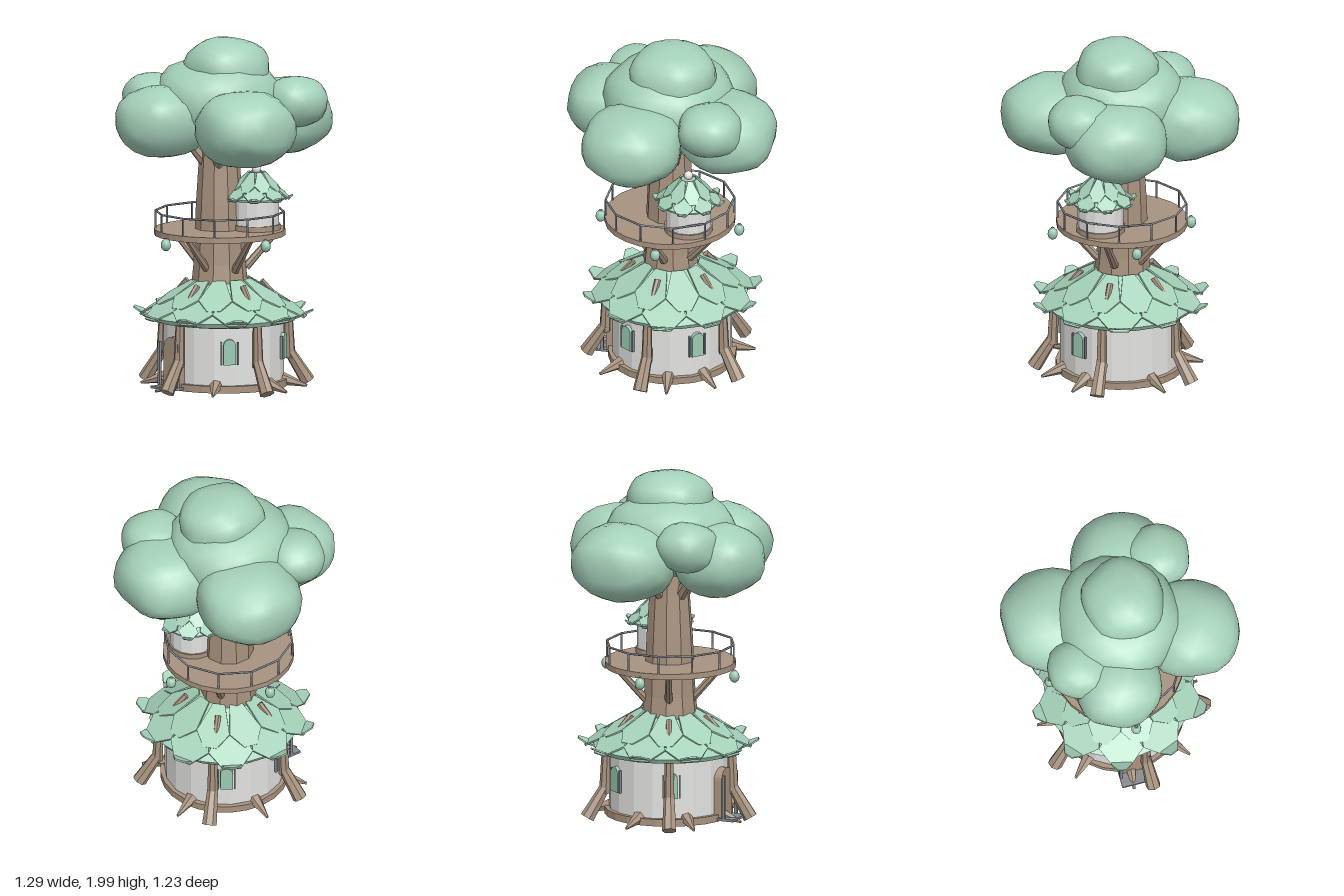
import * as THREE from 'three';
import { mergeVertices } from 'three/addons/utils/BufferGeometryUtils.js';

const mat = (name, color, extra = {}) => {
  const m = new THREE.MeshStandardMaterial({ color, ...extra });
  m.name = name;
  return m;
};

export function createModel() {
  const flat = { flatShading: true };
  const leaf = mat('leaf green', 0xa5d1b9);
  const roof = mat('roof green', 0xa5d1b9, flat);
  const glass = mat('window green', 0x9ccbb2);
  const bark = mat('bark brown', 0xa8937f, flat);
  const doorWood = mat('door brown', 0xaa937d);
  const wall = mat('wall white', 0xe2e2e0, flat);
  const metal = mat('rail grey', 0x868b91);
  const cream = mat('knob cream', 0xe8e3dc);

  const root = new THREE.Group();
  const group = (name, x = 0, y = 0, z = 0, parent = root) => {
    const g = new THREE.Group();
    g.name = name;
    g.position.set(x, y, z);
    parent.add(g);
    return g;
  };
  const add = (parent, name, geo, material, x = 0, y = 0, z = 0) => {
    const m = new THREE.Mesh(geo, material);
    m.name = name;
    m.position.set(x, y, z);
    parent.add(m);
    return m;
  };
  const rad = THREE.MathUtils.degToRad;
  const polar = (deg, r, y) => new THREE.Vector3(Math.cos(rad(deg)) * r, y, Math.sin(rad(deg)) * r);
  // Tapered rod between two points
  const beam = (parent, name, a, b, ra, rb, material = bark, sides = 7) => {
    const dir = b.clone().sub(a);
    const m = add(parent, name, new THREE.CylinderGeometry(rb, ra, dir.length(), sides), material);
    m.position.copy(a).add(b).multiplyScalar(0.5);
    m.quaternion.setFromUnitVectors(new THREE.Vector3(0, 1, 0), dir.normalize());
    return m;
  };
  const drum = (parent, name, rTop, rBottom, y0, y1, sides, material) =>
    add(parent, name, new THREE.CylinderGeometry(rTop, rBottom, y1 - y0, sides), material, 0, (y0 + y1) / 2, 0);

  // Pointed shingle lying from an inner to an outer point of a roof
  const shingle = (parent, deg, [r0, y0], [r1, y1], w0, w1, cut) => {
    const a = polar(deg, r0, y0), b = polar(deg, r1, y1);
    const v = b.clone().sub(a), len = v.length();
    v.normalize();
    const u = new THREE.Vector3(-Math.sin(rad(deg)), 0, Math.cos(rad(deg)));
    const s = new THREE.Shape();
    s.moveTo(-w0 / 2, 0);
    s.lineTo(w0 / 2, 0);
    s.lineTo(w1 / 2, len * cut);
    s.lineTo(w1 * 0.2, len);
    s.lineTo(-w1 * 0.2, len);
    s.lineTo(-w1 / 2, len * cut);
    const m = add(parent, 'shingle', new THREE.ExtrudeGeometry(s, { depth: 0.009, bevelEnabled: false }), roof);
    m.quaternion.setFromRotationMatrix(new THREE.Matrix4().makeBasis(u, v, u.clone().cross(v)));
    m.position.copy(a);
  };
  const arch = (w, h, d) => {
    const s = new THREE.Shape();
    s.moveTo(-w / 2, 0);
    s.lineTo(w / 2, 0);
    s.lineTo(w / 2, h - w / 2);
    s.absarc(0, h - w / 2, w / 2, 0, Math.PI, false);
    return new THREE.ExtrudeGeometry(s, { depth: d, bevelEnabled: false, curveSegments: 6 });
  };

  // Round house at the foot of the tree
  const house = group('house', 0.005);
  drum(house, 'baseRing', 0.362, 0.362, 0.03, 0.07, 24, bark);
  drum(house, 'wall', 0.338, 0.338, 0.07, 0.43, 18, wall);
  drum(house, 'eaveRing', 0.352, 0.352, 0.395, 0.42, 24, bark);

  // Door, its frame and step
  const door = group('door', -0.02, 0.045, 0, house);
  add(door, 'doorPanel', arch(0.135, 0.285, 0.055), doorWood, 0, 0, 0.315);
  for (const s of [-1, 1]) add(door, 'doorJamb', new THREE.BoxGeometry(0.014, 0.25, 0.016), metal, s * 0.079, 0.13, 0.39);
  add(door, 'doorStep', new THREE.BoxGeometry(0.17, 0.014, 0.1), metal, 0, 0, 0.4);

  // Arched windows with slim shutters
  for (const deg of [35, -36, 214, 152]) {
    const w = group('window', 0, 0.19, 0, house);
    w.rotation.y = Math.PI / 2 - rad(deg);
    add(w, 'pane', arch(0.07, 0.145, 0.026), glass, 0, 0, 0.33);
    for (const s of [-1, 1]) add(w, 'shutter', new THREE.BoxGeometry(0.008, 0.13, 0.014), metal, s * 0.047, 0.065, 0.345);
  }

  // Five kinked root posts, with matching roof pegs and deck braces
  for (let i = 0; i < 5; i++) {
    const d = 82 + i * 72;
    const post = group('rootPost', 0, 0, 0, house);
    beam(post, 'postTop', polar(d, 0.38, 0.17), polar(d, 0.37, 0.43), 0.032, 0.025);
    beam(post, 'postFoot', polar(d, 0.482, 0.034), polar(d, 0.376, 0.205), 0.042, 0.031);
    beam(root, 'roofPeg', polar(d, 0.29, 0.535), polar(d, 0.22, 0.61), 0.015, 0.018, bark, 6);
    beam(root, 'deckBrace', polar(d, 0.13, 0.69), polar(d, 0.31, 0.89), 0.024, 0.018);
  }
  for (const d of [95, 137, 48, -8, -43, 185, 250])
    beam(house, 'rootSpike', polar(d, 0.33, 0.068), polar(d, 0.47, 0.03), 0.037, 0.008, bark, 6);

  // Main roof: facetted shell, two rows of broad shingles, upturned eave plates
  const mainRoof = group('mainRoof');
  const lathe = (pts, n) => new THREE.LatheGeometry(pts.map(([x, y]) => new THREE.Vector2(x, y)), n);
  add(mainRoof, 'roofShell', lathe([[0, 0.405], [0.41, 0.405], [0.425, 0.43], [0.27, 0.537], [0.14, 0.625], [0, 0.625]], 20), roof);
  for (let i = 0; i < 10; i++) {
    const d = 67 + i * 36;
    shingle(mainRoof, d + 18, [0.145, 0.63], [0.37, 0.49], 0.07, 0.19, 0.65);
    shingle(mainRoof, d, [0.25, 0.557], [0.465, 0.42], 0.08, 0.25, 0.6);
    shingle(mainRoof, d, [0.41, 0.41], [0.51, 0.457], 0.07, 0.12, 0.55);
  }

  // Trunk with branches reaching into the crown
  const trunk = group('trunk', -0.01, 0, 0.015);
  const bole = [[0.165, 0.4], [0.157, 0.62], [0.147, 0.72], [0.132, 1.06], [0.114, 1.32], [0.1, 1.6]];
  add(trunk, 'bole', lathe(bole, 10), bark).rotation.z = 0.006;
  for (let i = 0; i < 5; i++)
    beam(trunk, 'branch', polar(46 + i * 72, 0.08, 1.29), polar(46 + i * 72, 0.21, 1.45), 0.035, 0.025);

  // Lookout deck, railing and hanging lanterns
  const deck = group('deck', -0.01, 0, 0.017);
  drum(deck, 'deckBoard', 0.37, 0.37, 0.882, 0.915, 24, bark);
  const n = 12;
  for (let i = 0; i < n; i++) {
    const a = 15 + i * 360 / n, b = a + 360 / n;
    beam(deck, 'railPost', polar(a, 0.362, 0.91), polar(a, 0.362, 1.015), 0.006, 0.006, metal, 6);
    beam(deck, 'railBar', polar(a, 0.362, 1.013), polar(b, 0.362, 1.013), 0.006, 0.006, metal, 6);
  }
  for (let i = 0; i < 4; i++) {
    const p = polar(i * 90, 0.398, 0.858);
    const l = group('lantern', p.x, p.y, p.z, deck);
    add(l, 'lanternGlobe', new THREE.SphereGeometry(0.029, 10, 8), glass).scale.y = 1.2;
    add(l, 'lanternCap', new THREE.CylinderGeometry(0.008, 0.014, 0.008, 8), metal, 0, 0.034, 0);
  }

  // Small turret on the deck
  const turret = group('turret', 0.143, 0, -0.122);
  drum(turret, 'turretBase', 0.137, 0.137, 0.91, 0.945, 16, bark);
  drum(turret, 'turretWall', 0.129, 0.129, 0.94, 1.1, 14, wall);
  add(turret, 'turretRoof', lathe([[0, 1.085], [0.16, 1.085], [0.165, 1.098], [0.1, 1.155], [0.04, 1.235], [0, 1.24]], 16), roof);
  for (let i = 0; i < 8; i++) {
    const d = 22 + i * 45;
    shingle(turret, d, [0.042, 1.236], [0.135, 1.132], 0.026, 0.09, 0.65);
    shingle(turret, d + 22.5, [0.095, 1.163], [0.185, 1.085], 0.03, 0.115, 0.6);
    shingle(turret, d + 22.5, [0.165, 1.083], [0.207, 1.106], 0.035, 0.055, 0.6);
  }
  add(turret, 'turretKnob', new THREE.SphereGeometry(0.026, 10, 8), cream, 0, 1.255, 0);

  // Crown of lumpy foliage: centre, then radii
  const crown = group('crown');
  const clumps = [
    [0.025, 1.825, -0.005, 0.23, 0.175, 0.245],
    [-0.015, 1.65, 0.025, 0.355, 0.235, 0.36],
    [-0.37, 1.54, -0.1, 0.29, 0.22, 0.29],
    [0.1, 1.535, -0.34, 0.29, 0.215, 0.28],
    [0.29, 1.64, -0.275, 0.185, 0.145, 0.185],
    [0.375, 1.535, 0.15, 0.28, 0.215, 0.28],
    [-0.105, 1.545, 0.36, 0.25, 0.205, 0.26],
    [-0.3, 1.645, 0.26, 0.18, 0.14, 0.17],
  ];
  clumps.forEach(([x, y, z, rx, ry, rz], i) => {
    let g = new THREE.IcosahedronGeometry(1, 3);
    g.deleteAttribute('uv');
    g.deleteAttribute('normal');
    g = mergeVertices(g, 1e-4);
    const p = g.attributes.position, v = new THREE.Vector3();
    // squarish lumps: each axis is rounded off towards a box
    const square = (t, e) => THREE.MathUtils.clamp(Math.sign(t) * Math.pow(Math.abs(t), e), -1, 1);
    for (let k = 0; k < p.count; k++) {
      v.fromBufferAttribute(p, k);
      const bump = Math.sin(v.x * 5 + i * 1.7) * Math.sin(v.y * 4.5 + i) + Math.sin(v.z * 5.3 + i * 2.3) * Math.cos(v.x * 4 - i);
      v.multiplyScalar(1 + 0.035 * bump);
      p.setXYZ(k, square(v.x, 0.94) * rx, square(v.y, 0.86) * ry, square(v.z, 0.94) * rz);
    }
    g.computeVertexNormals();
    add(crown, 'foliage', g, leaf, x, y, z);
  });
  return root;
}
